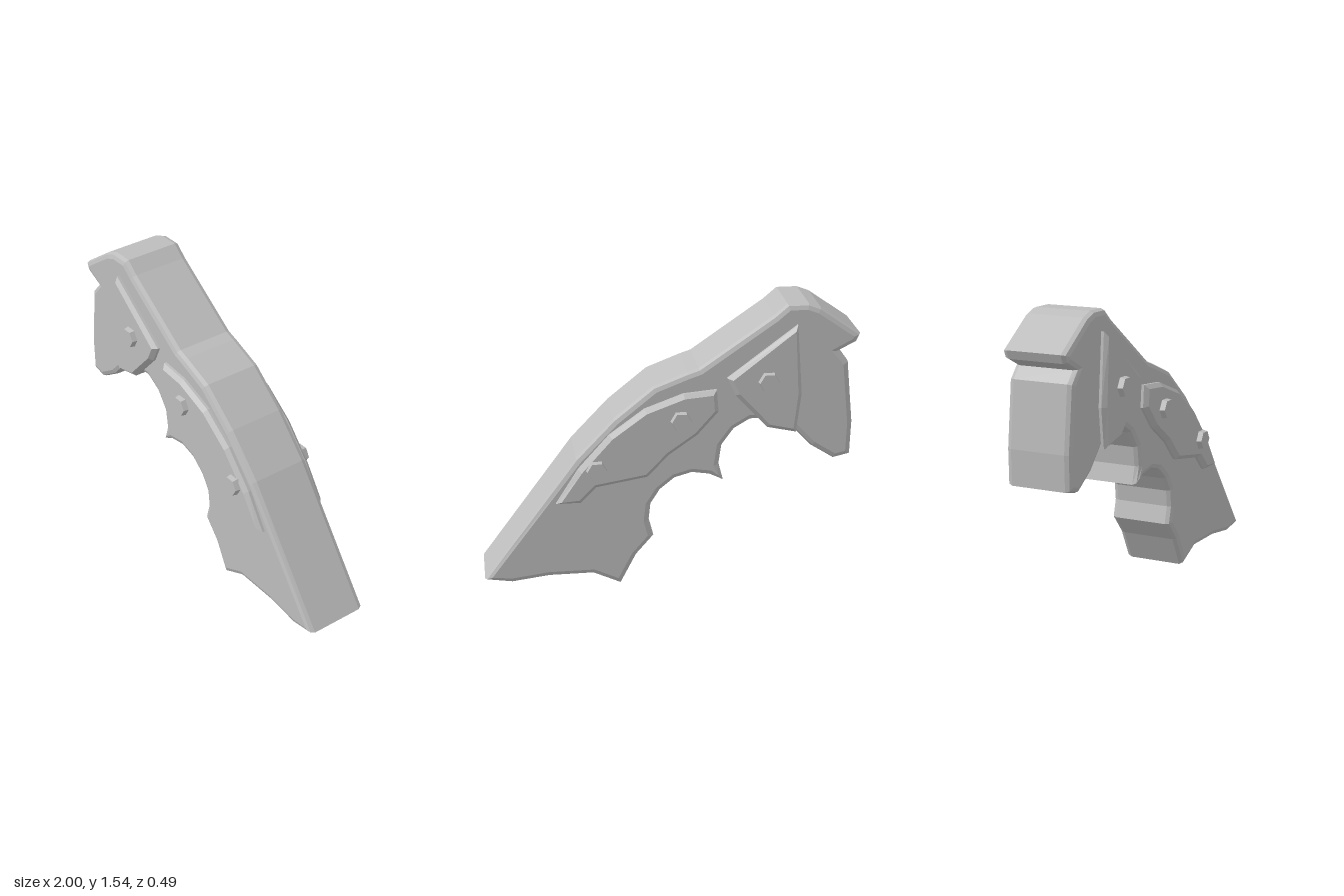
import * as THREE from 'three';

const steel = new THREE.MeshStandardMaterial({ color: 0xbdbdbd, flatShading: true });
steel.name = 'grey steel';

// Bevelled slab from an outline, centred on z = 0
function slab(points, halfDepth, bevel, bevelSegments) {
  const shape = new THREE.Shape(points.map(([x, y]) => new THREE.Vector2(x, y)));
  const depth = 2 * (halfDepth - bevel);
  const geometry = new THREE.ExtrudeGeometry(shape, {
    depth, bevelEnabled: true, bevelThickness: bevel, bevelSize: bevel, bevelOffset: -bevel, bevelSegments,
  });
  return geometry.translate(0, 0, -depth / 2);
}

// Grip silhouette: spine from nose to tail, then back along the finger notches
const gripOutline = [
  [-1, 1.37], [-0.785, 1.52], [-0.72, 1.545], [-0.61, 1.545], [-0.54, 1.485],
  [-0.15, 1.215], [-0.09, 1.195], [0.09, 1.125], [0.3, 0.955], [0.5, 0.745], [1, 0.07],
  [0.855, 0.045], [0.655, 0.07], [0.42, 0.07], [0.27, 0], [0.185, 0.165], [0.09, 0.275],
  [0.115, 0.37], [0.105, 0.46], [0.055, 0.54], [-0.025, 0.605], [-0.115, 0.63],
  [-0.21, 0.615], [-0.285, 0.58], [-0.26, 0.675], [-0.275, 0.78], [-0.34, 0.87],
  [-0.425, 0.92], [-0.475, 0.92], [-0.515, 0.88], [-0.66, 0.855], [-0.755, 0.755],
  [-0.88, 0.675], [-0.97, 0.695], [-0.975, 0.88], [-0.94, 1.22], [-0.885, 1.28], [-0.98, 1.325],
].reverse();

const upperPlateOutline = [
  [-0.66, 1.44], [-0.295, 1.165], [-0.34, 1.07], [-0.51, 0.885], [-0.665, 0.85], [-0.69, 1.065],
].reverse();

const lowerPlateOutline = [
  [-0.24, 1.105], [-0.065, 1.09], [0.14, 1.015], [0.325, 0.88], [0.49, 0.695], [0.61, 0.505],
  [0.48, 0.505], [0.395, 0.59], [0.125, 0.635], [0.01, 0.755], [-0.14, 0.86], [-0.25, 0.985],
].reverse();

const boltCentres = [[-0.51, 1.145], [-0.05, 0.95], [0.395, 0.695]];

export function createModel() {
  const model = new THREE.Group();
  model.name = 'grip';
  const add = (name, geometry, x = 0, y = 0, z = 0) => {
    const mesh = new THREE.Mesh(geometry, steel);
    mesh.name = name;
    mesh.position.set(x, y, z);
    model.add(mesh);
  };

  add('gripBody', slab(gripOutline, 0.18, 0.03, 2));

  // Raised plates and hexagonal bolts on both faces
  const upperPlate = slab(upperPlateOutline, 0.037, 0.022, 1);
  const lowerPlate = slab(lowerPlateOutline, 0.037, 0.022, 1);
  for (const [sideName, side] of [['front', 1], ['back', -1]]) {
    add(sideName + 'UpperPlate', upperPlate, 0, 0, side * 0.18);
    add(sideName + 'LowerPlate', lowerPlate, 0, 0, side * 0.18);
    const bolt = new THREE.CylinderGeometry(0.051, 0.059, 0.04, 6)
      .rotateY(Math.PI / 2)
      .rotateX(side * Math.PI / 2);
    for (const [x, y] of boltCentres) add(sideName + 'Bolt', bolt, x, y, side * 0.225);
  }
  return model;
}
